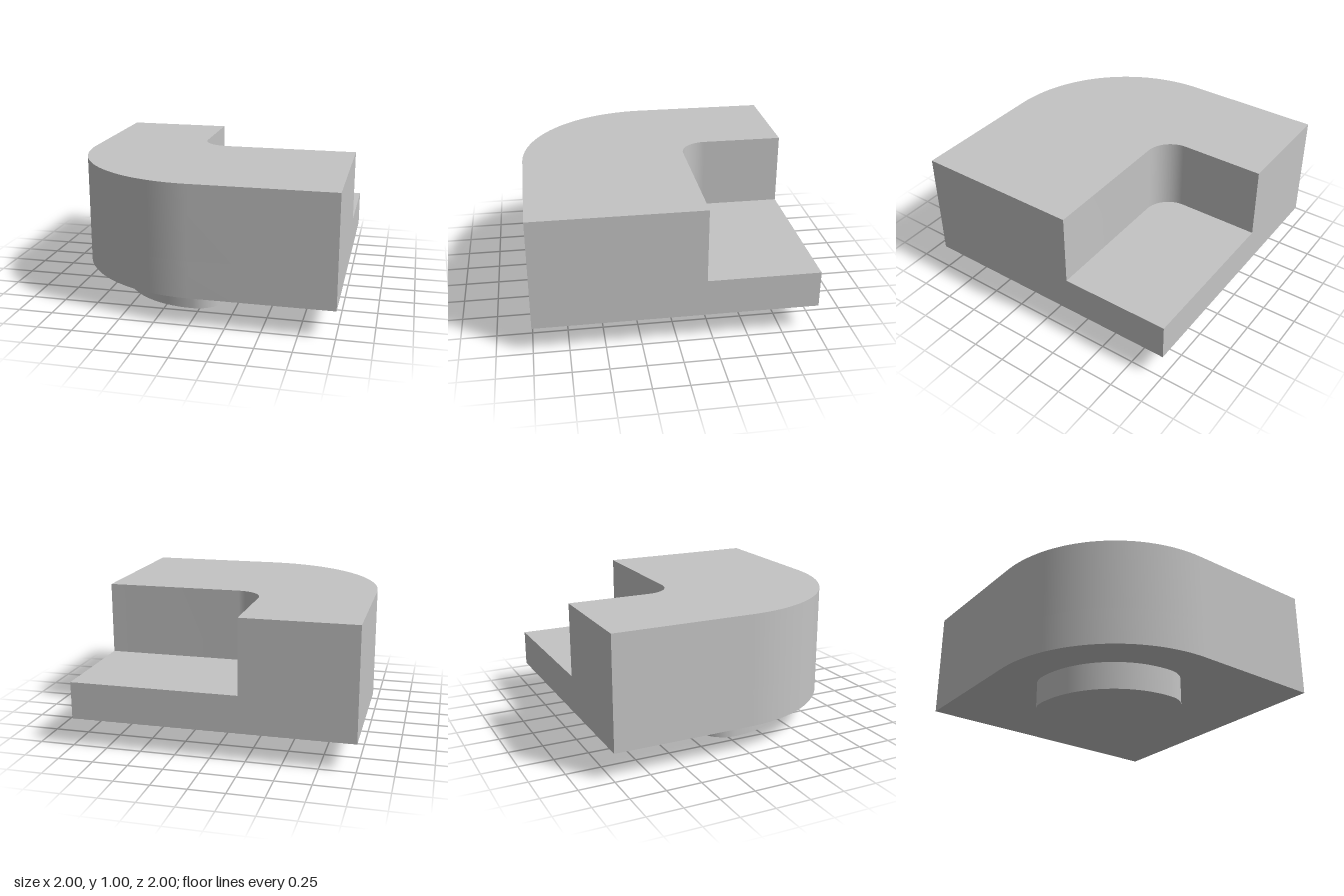
import * as THREE from 'three';
import { toCreasedNormals } from 'three/addons/utils/BufferGeometryUtils.js';

const BASE = 0.2, STEP = 0.467, TOP = 1;

// Extrude a plan outline (x, -z) between two heights, with smooth arcs and sharp edges
function prism(name, shape, y0, y1, material) {
  const extruded = new THREE.ExtrudeGeometry(shape, { depth: y1 - y0, bevelEnabled: false, curveSegments: 32 });
  extruded.rotateX(-Math.PI / 2).translate(0, y0, 0);
  const mesh = new THREE.Mesh(toCreasedNormals(extruded, Math.PI / 6), material);
  mesh.name = name;
  return mesh;
}

// Square plan with one large rounded corner at the front; optionally with the rear corner cut out
function plan(notched) {
  const s = new THREE.Shape();
  s.moveTo(-1, 1);
  s.lineTo(-1, 0);
  s.absarc(0, 0, 1, Math.PI, Math.PI * 1.5, false);
  s.lineTo(1, -1);
  if (notched) {
    s.lineTo(1, 0.2);
    s.lineTo(0, 0.2);
    s.absarc(0, 0.4, 0.2, Math.PI * 1.5, Math.PI, true);
    s.lineTo(-0.2, 1);
  } else {
    s.lineTo(1, 1);
  }
  s.closePath();
  return s;
}

// Quarter-turn curved slot with round ends
function kidney(cx, cy, radius, half) {
  const s = new THREE.Shape();
  s.absarc(cx, cy, radius + half, Math.PI, Math.PI * 1.5, false);
  s.absarc(cx, cy - radius, half, -Math.PI / 2, Math.PI / 2, false);
  s.absarc(cx, cy, radius - half, Math.PI * 1.5, Math.PI, true);
  s.absarc(cx - radius, cy, half, 0, Math.PI, false);
  return s;
}

export function createModel() {
  const grey = new THREE.MeshStandardMaterial({ color: 0xc4c4c4 });
  grey.name = 'plain grey';

  const model = new THREE.Group();
  model.name = 'steppedBlock';
  model.add(
    prism('baseSlab', plan(false), BASE, STEP, grey),
    prism('upperCorner', plan(true), STEP, TOP, grey),
    prism('curvedFoot', kidney(-0.05, -0.05, 0.45, 0.2), 0, BASE, grey),
  );
  return model;
}
